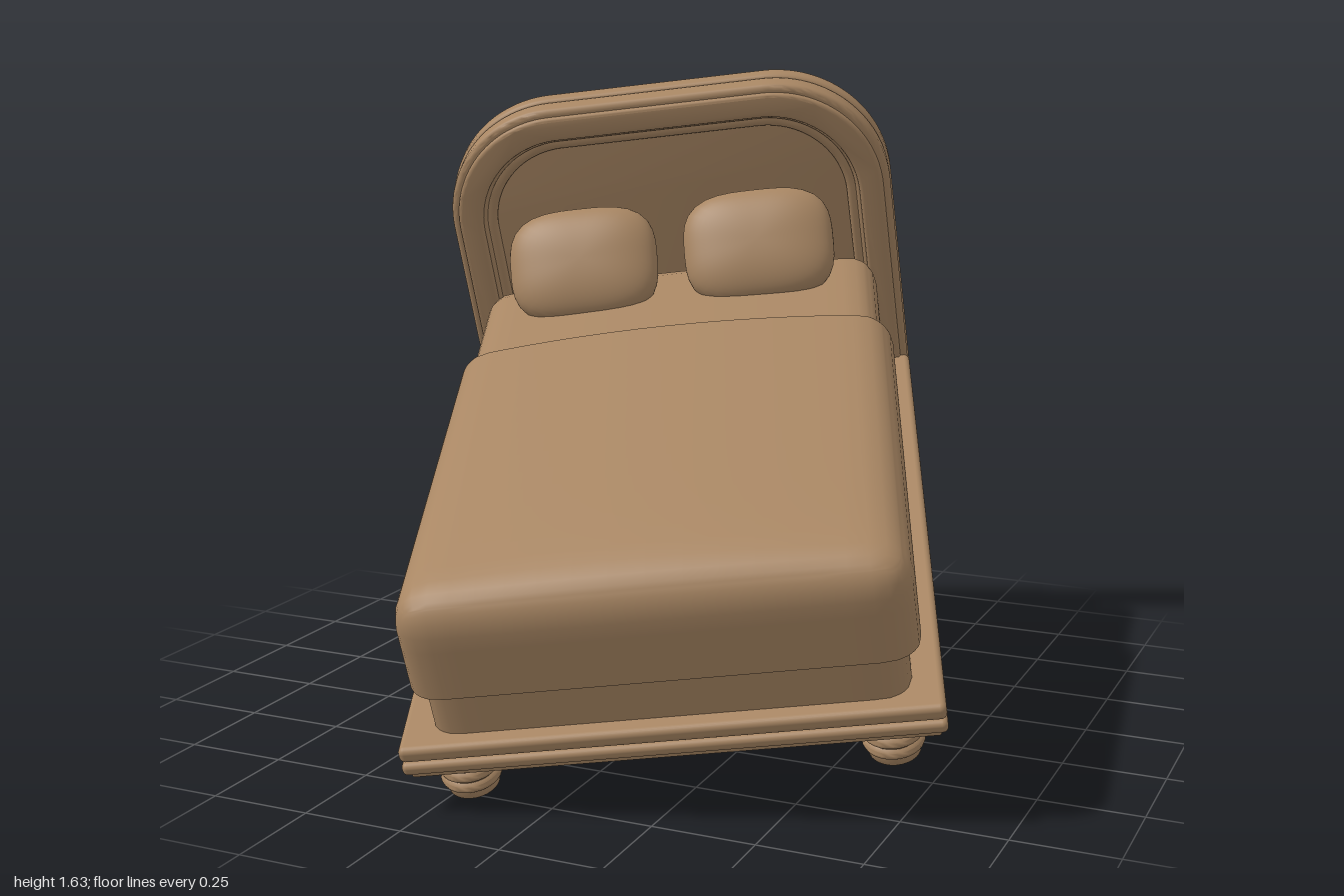
import * as THREE from 'three';
import { mergeVertices, toCreasedNormals } from 'three/addons/utils/BufferGeometryUtils.js';
import { RoundedBoxGeometry } from 'three/addons/geometries/RoundedBoxGeometry.js';

const CX = 0.058; // centre line of the bed

// Block with rounded top and vertical edges, a flat bottom and a gently domed top
function softBlock(w, h, d, r, dome, roundBack) {
  const geo = new THREE.BoxGeometry(2, 2, 2, 22, 10, 22);
  const pos = geo.attributes.position;
  const hx = w / 2, hy = h / 2, hz = d / 2;
  const p = new THREE.Vector3(), c = new THREE.Vector3();
  const ease = (t) => Math.sin(t * Math.PI / 2); // denser towards the edges
  for (let i = 0; i < pos.count; i++) {
    p.fromBufferAttribute(pos, i);
    const isTop = p.y;
    p.set(hx * ease(p.x), hy * ease(p.y), hz * ease(p.z));
    const zMin = roundBack ? -hz + r : -hz;
    c.set(
      THREE.MathUtils.clamp(p.x, -hx + r, hx - r),
      Math.min(p.y, hy - r),
      THREE.MathUtils.clamp(p.z, zMin, hz - r));
    p.sub(c);
    // only the outer skin is pushed out to the corner radius
    if (p.lengthSq() > 1e-12) p.setLength(r);
    p.add(c);
    const sx = p.x / hx, sz = Math.max(0, p.z / hz);
    if (isTop > -0.99) {
      const up = THREE.MathUtils.smoothstep(p.y, hy - r, hy);
      p.y += dome * up * (1 - sx * sx) * (1 - sz ** 4);
    }
    pos.setXYZ(i, p.x, p.y, p.z);
  }
  return toCreasedNormals(geo, 0.7);
}

// Arched outline, open along the bottom; inset shrinks it evenly
function archPoints(inset) {
  const h = 0.615 - inset, top = 1.337 - inset, r = 0.32 - inset * 0.8, bottom = 0.376;
  const s = new THREE.Shape();
  s.moveTo(-h, bottom);
  s.lineTo(-h, top - r);
  s.absarc(-h + r, top - r, r, Math.PI, Math.PI / 2, true);
  s.absarc(h - r, top - r, r, Math.PI / 2, 0, true);
  s.lineTo(h, bottom);
  return s.getPoints(14);
}

// Arch plate, or arch band when an inner inset is given
function archGeometry(z0, z1, outer, inner, bevel) {
  const pts = archPoints(outer);
  if (inner) pts.push(...archPoints(inner).reverse());
  const geo = new THREE.ExtrudeGeometry(new THREE.Shape(pts), {
    depth: z1 - z0 - 2 * bevel, bevelEnabled: true, bevelThickness: bevel,
    bevelSize: bevel, bevelOffset: -bevel, bevelSegments: 3,
  });
  geo.translate(0, 0, z0 + bevel);
  return toCreasedNormals(geo, 0.6);
}

// Cushion: flattened ball with a squarish outline
function pillowGeometry(hw, hh, ht) {
  const geo = new THREE.SphereGeometry(1, 40, 28);
  geo.rotateX(Math.PI / 2);
  const pos = geo.attributes.position;
  for (let i = 0; i < pos.count; i++) {
    const x = pos.getX(i), y = pos.getY(i), z = pos.getZ(i);
    const flat = Math.hypot(x, y);
    const a = Math.atan2(y, x);
    const square = 1 / Math.pow(Math.abs(Math.cos(a)) ** 3.2 + Math.abs(Math.sin(a)) ** 3.2, 1 / 3.2);
    const k = flat > 1e-6 ? square * Math.pow(flat, 0.85) : 0;
    pos.setXYZ(i, Math.cos(a) * k * hw, Math.sin(a) * k * hh, Math.sign(z) * Math.abs(z) ** 0.9 * ht);
  }
  geo.deleteAttribute('uv');
  geo.deleteAttribute('normal');
  const merged = mergeVertices(geo, 1e-5);
  merged.computeVertexNormals();
  return merged;
}

export function createModel() {
  const clay = new THREE.MeshStandardMaterial({ color: 0xa88663 });
  clay.name = 'warm tan';

  const model = new THREE.Group();
  model.name = 'bed';
  const bed = new THREE.Group();
  bed.name = 'tiltedBed';
  bed.rotation.set(THREE.MathUtils.degToRad(20), THREE.MathUtils.degToRad(20), 0);
  model.add(bed);

  const add = (name, geo, x, y, z) => {
    const m = new THREE.Mesh(geo, clay);
    m.name = name;
    m.position.set(x, y, z);
    bed.add(m);
    return m;
  };

  // Base platform: stacked boards and rounded beads [name, bottom, top, inset, radius]
  const zBack = -0.93, zFront = 0.685;
  for (const [name, y0, y1, inset, r] of [
    ['baseBoard', 0.383, 0.46, 0.016, 0.006],
    ['lowerBead', 0.4, 0.432, 0.0, 0.013],
    ['upperBead', 0.436, 0.476, 0.0, 0.015],
  ]) {
    add(name, new RoundedBoxGeometry(1.23 - 2 * inset, y1 - y0, zFront - zBack - 2 * inset, 3, r),
      CX, (y0 + y1) / 2, (zBack + zFront) / 2);
  }

  // Turned feet with ringed sides
  const profile = [[0, 0], [0.05, 0], [0.06, 0.008], [0.062, 0.026]];
  for (let i = 0; i < 3; i++) {
    const y = 0.028 + i * 0.03;
    profile.push([0.062, y], [0.07, y + 0.005], [0.073, y + 0.013], [0.07, y + 0.021], [0.062, y + 0.027]);
  }
  profile.push([0.062, 0.13]);
  const foot = toCreasedNormals(
    new THREE.LatheGeometry(profile.map(([x, y]) => new THREE.Vector2(x, y)), 28), 0.8);
  for (const sx of [-1, 1]) {
    for (const z of [-0.83, 0.565]) add(z > 0 ? 'frontFoot' : 'backFoot', foot, CX + sx * 0.49, 0.266, z);
  }

  // Headboard: plate, recessed panel and stepped arch mouldings
  add('headboardBack', archGeometry(-1.043, -0.985, 0, 0, 0.016), CX, 0, 0);
  add('headboardPanel', archGeometry(-0.99, -0.955, 0.012, 0, 0.005), CX, 0, 0);
  add('headboardRim', archGeometry(-0.99, -0.922, 0.004, 0.1, 0.014), CX, 0, 0);
  add('headboardRimBand', archGeometry(-0.95, -0.908, 0.024, 0.09, 0.01), CX, 0, 0);
  add('headboardInnerBead', archGeometry(-0.97, -0.935, 0.09, 0.125, 0.012), CX, 0, 0);

  // Mattress and the blanket draped over its front part
  add('mattress', softBlock(1.09, 0.37, 1.53, 0.07, 0.02, true), CX, 0.65, -0.125);
  add('blanket', softBlock(1.15, 0.25, 1.135, 0.085, 0.036, false), CX, 0.715, 0.0925);

  // Pair of pillows leaning on the headboard
  const pillow = pillowGeometry(0.203, 0.155, 0.07);
  for (const sx of [-1, 1]) {
    const m = add(sx > 0 ? 'leftPillow' : 'rightPillow', pillow, CX + sx * 0.24, 0.94, -0.765);
    m.rotation.x = THREE.MathUtils.degToRad(-40);
  }
  return model;
}
